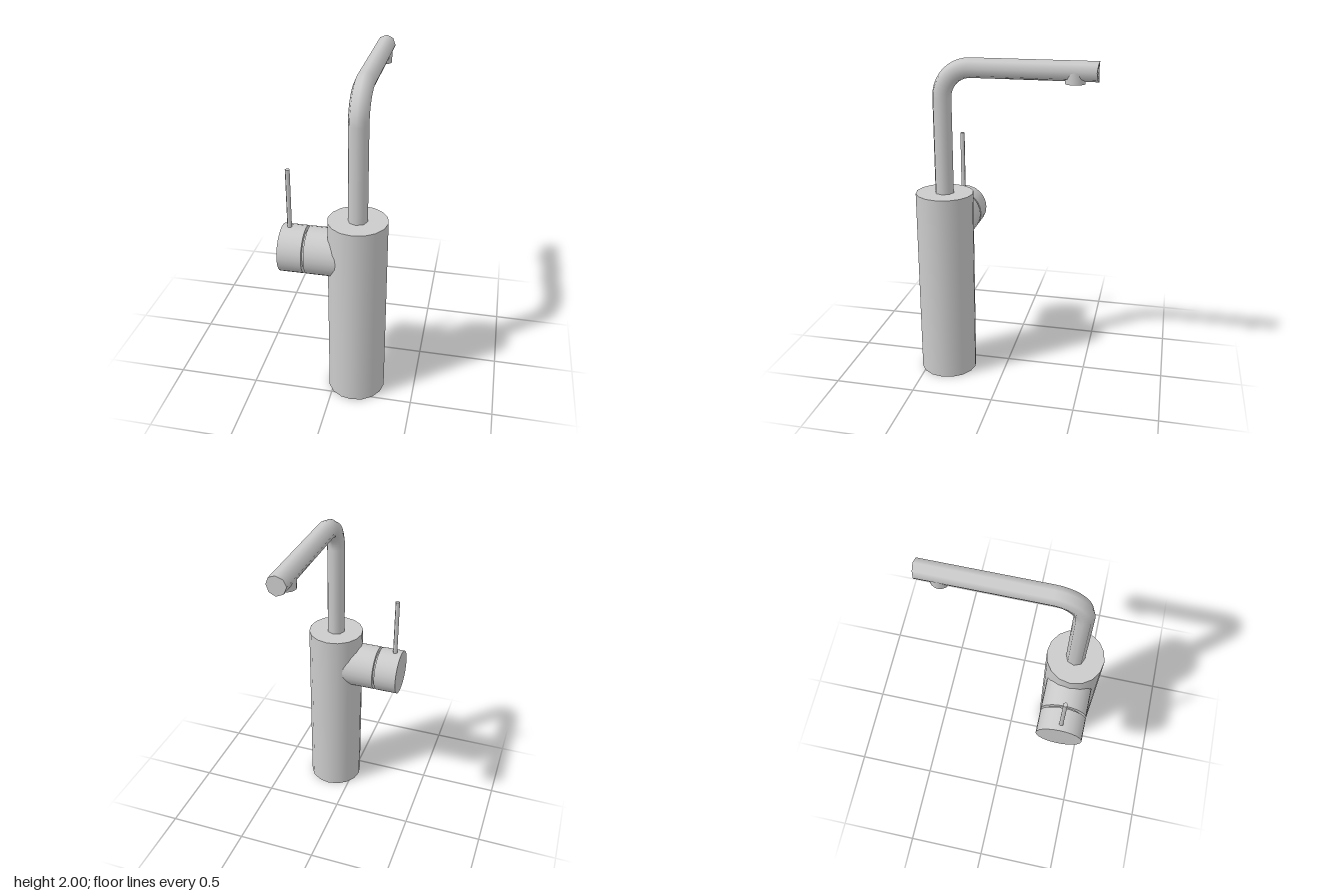
import * as THREE from 'three';

const X = 0.135, Z = 0.37; // axis of the body

export function createModel() {
  const group = new THREE.Group();
  group.name = 'tap';
  const material = new THREE.MeshStandardMaterial({ color: 0xcccccc });
  const twoSided = new THREE.MeshStandardMaterial({ color: 0xcccccc, side: THREE.DoubleSide });

  const add = (name, geometry, x = 0, y = 0, z = 0, mat = material) => {
    const mesh = new THREE.Mesh(geometry, mat);
    mesh.name = name;
    mesh.position.set(x, y, z);
    group.add(mesh);
    return mesh;
  };

  // Tall body, open underneath, with a flat lid
  const height = 1.186, radius = 0.176;
  add('body', new THREE.CylinderGeometry(radius, radius, height, 16, 1, true), X, height / 2, Z, twoSided);
  add('bodyTop', new THREE.CircleGeometry(radius, 16).rotateX(-Math.PI / 2), X, height, Z);

  // Bent spout: upright, quarter bend, long horizontal run
  const pipe = 0.058, topY = 1.942, bend = 0.175, endZ = -0.534;
  const path = [new THREE.Vector3(X, 1.17, Z)];
  const bendSteps = 10;
  for (let i = 0; i <= bendSteps; i++) {
    const a = (i / bendSteps) * Math.PI / 2;
    path.push(new THREE.Vector3(X, topY - bend + bend * Math.sin(a), Z - bend + bend * Math.cos(a)));
  }
  path.push(new THREE.Vector3(X, topY, endZ));

  // The end is cut with a slight curve, further out at top and bottom
  const curveEnd = (geometry) => {
    const p = geometry.attributes.position;
    for (let i = 0; i < p.count; i++) {
      if (p.getZ(i) < endZ + 0.001) {
        p.setZ(i, p.getZ(i) - 0.009 * ((p.getY(i) - topY) / pipe) ** 2);
      }
    }
    return geometry;
  };

  // Rings of eight points swept along the path
  const sides = 8, positions = [], normals = [], index = [];
  path.forEach((point, i) => {
    const a = THREE.MathUtils.clamp((i - 1) / bendSteps, 0, 1) * Math.PI / 2;
    const out = new THREE.Vector3(0, Math.sin(a), Math.cos(a));
    for (let j = 0; j < sides; j++) {
      const t = (j / sides) * Math.PI * 2;
      const n = out.clone().multiplyScalar(Math.cos(t));
      n.x = Math.sin(t);
      normals.push(n.x, n.y, n.z);
      positions.push(point.x + n.x * pipe, point.y + n.y * pipe, point.z + n.z * pipe);
      if (i > 0) {
        const k = (j + 1) % sides, b = i * sides, c = b - sides;
        index.push(c + j, c + k, b + j, c + k, b + k, b + j);
      }
    }
  });
  const spout = new THREE.BufferGeometry();
  spout.setAttribute('position', new THREE.Float32BufferAttribute(positions, 3));
  spout.setAttribute('normal', new THREE.Float32BufferAttribute(normals, 3));
  spout.setIndex(index);
  add('spout', curveEnd(spout), 0, 0, 0, twoSided);
  const cap = new THREE.CircleGeometry(pipe, sides).rotateY(Math.PI).translate(X, topY, endZ);
  add('spoutEnd', curveEnd(cap));

  // Outlet below the spout
  add('outlet', new THREE.CylinderGeometry(0.057, 0.057, 0.07, 16), X, 1.906, -0.408);

  // Side control: fixed stub, narrow neck and turning knob, all along x
  const drum = (name, x0, x1, r) => add(name,
    new THREE.CylinderGeometry(r, r, x1 - x0, 24).rotateZ(Math.PI / 2), (x0 + x1) / 2, 0.955, 0.366);
  drum('controlStub', -0.158, 0.1, 0.143);
  drum('controlNeck', -0.18, -0.15, 0.116);
  drum('controlKnob', -0.315, -0.172, 0.143);

  // Thin upright lever on the knob
  add('lever', new THREE.CylinderGeometry(0.014, 0.014, 0.39, 6).rotateY(Math.PI / 6), -0.27, 1.27, 0.366);

  return group;
}
